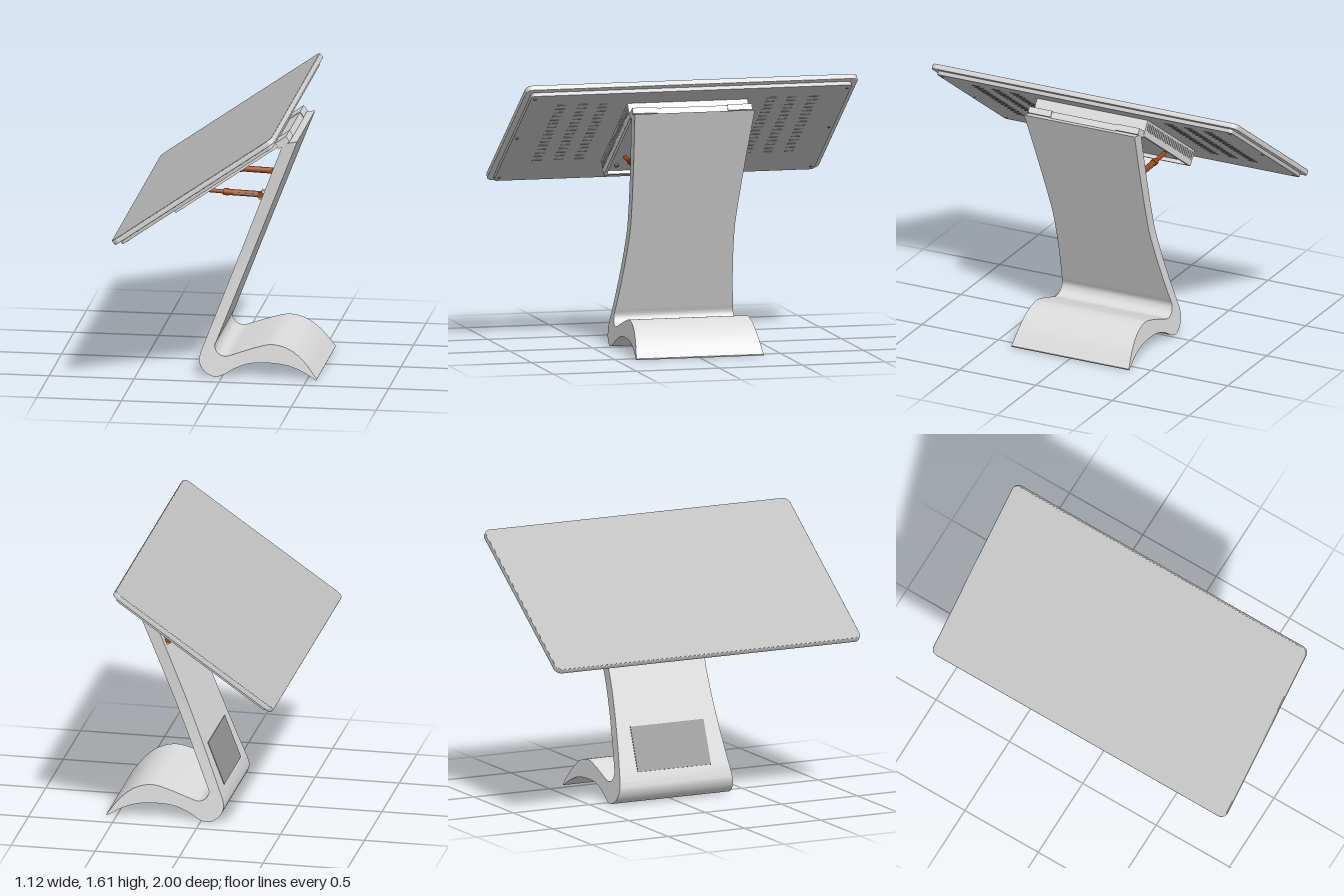
import * as THREE from 'three';
import { toCreasedNormals } from 'three/addons/utils/BufferGeometryUtils.js';

const material = (name, color) => {
  const m = new THREE.MeshStandardMaterial({ color });
  m.name = name;
  return m;
};

const add = (parent, name, geometry, mat, x = 0, y = 0, z = 0) => {
  const mesh = new THREE.Mesh(geometry, mat);
  mesh.name = name;
  mesh.position.set(x, y, z);
  parent.add(mesh);
  return mesh;
};

// Box given by its ranges along x, y and z
const addBox = (parent, name, mat, [x0, x1], [y0, y1], [z0, z1]) =>
  add(parent, name, new THREE.BoxGeometry(x1 - x0, y1 - y0, z1 - z0), mat,
    (x0 + x1) / 2, (y0 + y1) / 2, (z0 + z1) / 2);

// Cylinder between two points
const addRod = (parent, name, mat, from, to, radius) => {
  const a = new THREE.Vector3(...from), b = new THREE.Vector3(...to);
  const rod = add(parent, name, new THREE.CylinderGeometry(radius, radius, a.distanceTo(b), 16), mat);
  rod.position.copy(a).add(b).multiplyScalar(0.5);
  rod.quaternion.setFromUnitVectors(new THREE.Vector3(0, 1, 0), b.sub(a).normalize());
  return rod;
};

// Flat slab with rounded corners, lying in xz with its top at y = 0
function slab(hx, hz, radius, thickness, bevel) {
  const a = hx - bevel, b = hz - bevel, r = radius - bevel;
  const s = new THREE.Shape();
  s.moveTo(-a + r, -b);
  s.lineTo(a - r, -b);
  s.absarc(a - r, -b + r, r, -Math.PI / 2, 0);
  s.lineTo(a, b - r);
  s.absarc(a - r, b - r, r, 0, Math.PI / 2);
  s.lineTo(-a + r, b);
  s.absarc(-a + r, b - r, r, Math.PI / 2, Math.PI);
  s.lineTo(-a, -b + r);
  s.absarc(-a + r, -b + r, r, Math.PI, Math.PI * 1.5);
  const g = new THREE.ExtrudeGeometry(s, {
    depth: thickness - 2 * bevel, bevelEnabled: bevel > 0, bevelSize: bevel,
    bevelThickness: bevel, bevelSegments: 3, curveSegments: 8,
  });
  g.rotateX(-Math.PI / 2).translate(0, bevel - thickness, 0);
  return toCreasedNormals(g, 0.7);
}

// Waisted half width of the stand at a given height
const halfWidth = (y) => y < 0.72
  ? 0.315 + 0.07 * ((0.72 - y) / 0.72) ** 1.6
  : 0.315 + 0.047 * ((y - 0.72) / 0.71) ** 1.3;

// Curved foot and leaning column swept as one band of four-cornered sections
function standGeometry() {
  const side = (pts, end) => {
    const curve = new THREE.CatmullRomCurve3(pts.map(([x, y]) => new THREE.Vector3(x, y, 0)));
    const path = curve.getPoints(80), last = path[80], top = new THREE.Vector3(...end, 0);
    for (let i = 1; i <= 24; i++) path.push(last.clone().lerp(top, i / 24));
    return path;
  };
  const upper = side([[0.56, 0.008], [0.476, 0.113], [0.39, 0.177], [0.293, 0.2], [0.2, 0.18], [0.1, 0.147],
    [0.02, 0.122], [-0.008, 0.128], [-0.03, 0.143], [-0.045, 0.18], [-0.03, 0.222]], [0.442, 1.43]);
  const lower = side([[0.556, 0], [0.475, 0.047], [0.39, 0.079], [0.263, 0.092], [0.156, 0.083], [0.07, 0.05],
    [0, 0.01], [-0.05, 0.002], [-0.109, 0.036], [-0.135, 0.092], [-0.128, 0.14]], [0.357, 1.412]);
  const pos = [], idx = [];
  upper.forEach((u, i) => {
    const l = lower[i], wu = halfWidth(u.y), wl = halfWidth(l.y);
    pos.push(u.x, u.y, wu, u.x, u.y, -wu, l.x, l.y, -wl, l.x, l.y, wl);
    if (i === 0) return;
    for (let j = 0; j < 4; j++) {
      const a = (i - 1) * 4 + j, b = (i - 1) * 4 + (j + 1) % 4;
      idx.push(a, b, b + 4, a, b + 4, a + 4);
    }
  });
  const e = (upper.length - 1) * 4;
  idx.push(0, 2, 1, 0, 3, 2, e, e + 1, e + 2, e, e + 2, e + 3);
  const g = new THREE.BufferGeometry();
  g.setAttribute('position', new THREE.Float32BufferAttribute(pos, 3));
  g.setIndex(idx);
  return toCreasedNormals(g, 0.6);
}

export function createModel() {
  const model = new THREE.Group();
  model.name = 'touchscreenKiosk';
  const shell = material('shell light grey', 0xdcdbdc);
  const screenGrey = material('screen grey', 0xbebebe);
  const backGrey = material('back cover grey', 0xc6c6c6);
  const hatchGrey = material('hatch grey', 0x979797);
  const slotGrey = material('slot grey', 0x8c8c8c);
  const metal = material('connector grey', 0x787878);
  const brown = material('strut brown', 0xa34a12);

  // Stand with a service hatch low on the column
  add(model, 'stand', standGeometry(), shell);
  const hatch = add(model, 'serviceHatch', new THREE.BoxGeometry(0.008, 0.27, 0.48), hatchGrey, -0.061, 0.315, 0);
  hatch.rotation.z = -0.3645;

  // Display head, built flat and tilted as a whole
  const head = new THREE.Group();
  head.name = 'displayHead';
  head.position.set(-0.09, 1.284, 0);
  head.rotation.z = THREE.MathUtils.degToRad(34.9);
  model.add(head);
  add(head, 'screen', slab(0.572, 0.996, 0.036, 0.005, 0), screenGrey, 0, 0.001, 0);
  add(head, 'bezel', slab(0.576, 1, 0.04, 0.031, 0.004), shell);
  add(head, 'backCover', slab(0.54, 0.965, 0.02, 0.024, 0), backGrey, 0, -0.03, 0);

  // Cooling slots on the underside
  for (const s of [-1, 1]) {
    for (const z of [0.505, 0.63, 0.76]) {
      for (let i = 0; i < 16; i++) {
        add(head, 'coolingSlot', new THREE.BoxGeometry(0.012, 0.003, 0.055), slotGrey,
          -0.29 + i * 0.0467, -0.0545, s * z);
      }
    }
  }

  // Cover screws around the rim
  for (const x of [-0.5, 0, 0.5]) {
    for (const z of [-0.94, 0.94]) {
      add(head, 'coverScrew', new THREE.CylinderGeometry(0.008, 0.008, 0.006, 12), slotGrey, x, -0.055, z);
    }
  }

  // Shallow housing with a raised lip and slotted side walls
  addBox(head, 'housing', backGrey, [-0.328, 0.4], [-0.128, -0.05], [-0.355, 0.355]);
  addBox(head, 'housingLowerLip', shell, [-0.33, -0.315], [-0.15, -0.05], [-0.36, 0.36]);
  addBox(head, 'housingUpperLip', shell, [0.39, 0.405], [-0.15, -0.05], [-0.36, 0.36]);
  for (const s of [-1, 1]) {
    const wall = addBox(head, 'housingSideWall', shell, [-0.33, 0.405], [-0.15, -0.05], [0.345, 0.362]);
    wall.position.z *= s;
    for (let i = 0; i < 27; i++) {
      add(head, 'sideSlot', new THREE.BoxGeometry(0.009, 0.046, 0.003), slotGrey,
        -0.305 + i * 0.0262, -0.09, s * 0.3625);
    }
    // Screws in the housing floor
    for (const x of [-0.24, 0.3]) {
      add(head, 'floorScrew', new THREE.CylinderGeometry(0.012, 0.012, 0.014, 12), metal, x, -0.133, s * 0.3);
    }
  }

  // Hinge joining the housing to the top of the column
  for (const s of [-1, 1]) {
    const leaf = addBox(head, 'hingeLeaf', shell, [0.4, 0.481], [-0.16, -0.122], [0.212, 0.36]);
    leaf.position.z *= s;
  }
  addBox(head, 'hingeBar', shell, [0.4, 0.476], [-0.165, -0.126], [-0.212, 0.212]);

  // Connectors at the lower end of the housing
  [-0.06, 0, 0.06].forEach((z, i) => {
    addRod(head, 'plug', metal, [-0.33, -0.1, z], [-0.37, -0.1, z], 0.011);
    addRod(head, 'plugTail', metal, [-0.37, -0.1, z], [-0.385 - 0.012 * i, -0.104, z], 0.005);
  });
  addBox(head, 'socket', metal, [-0.355, -0.33], [-0.078, -0.065], [-0.05, 0.05]);

  // Pair of gas struts between the housing and the column
  for (const z of [-0.27, 0.27]) {
    const strut = new THREE.Group();
    strut.name = 'gasStrut';
    addRod(strut, 'strutRod', brown, [-0.125, 1.096, z], [0.02, 1.088, z], 0.012);
    addRod(strut, 'strutCollar', brown, [-0.005, 1.0895, z], [0.025, 1.088, z], 0.021);
    addRod(strut, 'strutBarrel', brown, [0.02, 1.088, z], [0.215, 1.081, z], 0.018);
    addRod(strut, 'strutEnd', brown, [0.213, 1.078, z - 0.02], [0.213, 1.078, z + 0.02], 0.019);
    const s = Math.sign(z);
    const inlay = add(strut, 'strutInlay', new THREE.BoxGeometry(0.14, 0.009, 0.006), slotGrey, 0.125, 1.084, z + s * 0.016);
    inlay.rotation.z = -0.036;
    const bracket = add(strut, 'strutBracket', new THREE.BoxGeometry(0.03, 0.06, 0.03), shell, 0.226, 1.078, z);
    bracket.rotation.z = -0.3645;
    model.add(strut);
  }
  return model;
}
